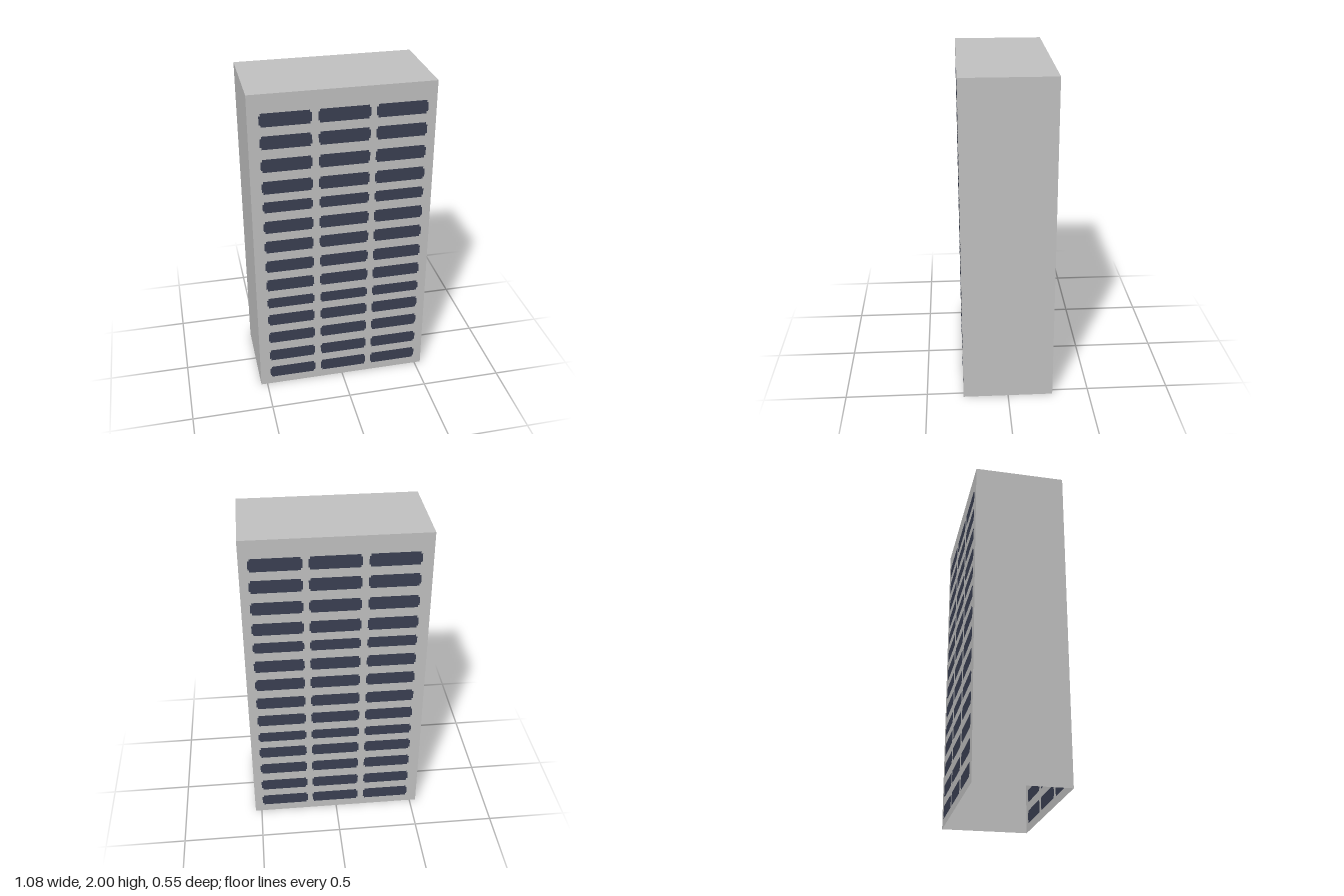
import * as THREE from 'three';

const W = 1.08, H = 2, D = 0.55;

// window grid: column spans in x, row centres in y (two rows are slightly lower)
const COLUMNS = [[-0.476, -0.18], [-0.143, 0.157], [0.19, 0.49]];
const ROWS = [0.093, 0.228, 0.369, 0.506, 0.634, 0.766, 0.901, 1.039, 1.174, 1.307, 1.434, 1.572, 1.713, 1.848];
const LOW_ROWS = [4, 9];

// rectangle with small stepped corners
function windowPoints(x0, x1, y, h) {
  const nx = 0.009, ny = 0.014, y0 = y - h / 2, y1 = y + h / 2;
  return [
    [x0 + nx, y0], [x1 - nx, y0], [x1 - nx, y0 + ny], [x1, y0 + ny],
    [x1, y1 - ny], [x1 - nx, y1 - ny], [x1 - nx, y1], [x0 + nx, y1],
    [x0 + nx, y1 - ny], [x0, y1 - ny], [x0, y0 + ny], [x0 + nx, y0 + ny],
  ].map(([px, py]) => new THREE.Vector2(px, py));
}

export function createModel() {
  const model = new THREE.Group();
  model.name = 'apartmentBlock';

  const concrete = new THREE.MeshStandardMaterial({ color: 0xc2c2c2, side: THREE.DoubleSide });
  concrete.name = 'concreteGrey';
  const glass = new THREE.MeshStandardMaterial({ color: 0x3b4053, side: THREE.DoubleSide });
  glass.name = 'windowBlue';

  const add = (parent, name, geometry, material) => {
    const mesh = new THREE.Mesh(geometry, material);
    mesh.name = name;
    parent.add(mesh);
    return mesh;
  };

  // a thin wall with window openings, each filled by a pane in the same plane
  function facade(name, mirror) {
    const group = new THREE.Group();
    group.name = name;
    const wall = new THREE.Shape([[-W / 2, 0], [W / 2, 0], [W / 2, H], [-W / 2, H]]
      .map(([x, y]) => new THREE.Vector2(x, y)));
    const panes = [];
    ROWS.forEach((y, row) => {
      const h = LOW_ROWS.includes(row) ? 0.071 : 0.081;
      for (const [a, b] of COLUMNS) {
        const points = mirror ? windowPoints(-b, -a, y, h) : windowPoints(a, b, y, h);
        wall.holes.push(new THREE.Path(points));
        panes.push(new THREE.Shape(points));
      }
    });
    add(group, name + 'Wall', new THREE.ShapeGeometry(wall), concrete);
    add(group, name + 'Windows', new THREE.ShapeGeometry(panes), glass);
    model.add(group);
    return group;
  }

  // front and back share the same window positions in x
  facade('front', false).position.z = D / 2;
  const back = facade('back', true);
  back.rotation.y = Math.PI;
  back.position.z = -D / 2;

  // plain side walls
  for (const [name, s] of [['leftWall', 1], ['rightWall', -1]]) {
    const side = add(model, name, new THREE.PlaneGeometry(D, H), concrete);
    side.rotation.y = s * Math.PI / 2;
    side.position.set(s * W / 2, H / 2, 0);
  }

  // flat roof; the underside stays open
  const roof = add(model, 'roof', new THREE.PlaneGeometry(W, D), concrete);
  roof.rotation.x = -Math.PI / 2;
  roof.position.y = H;

  return model;
}
